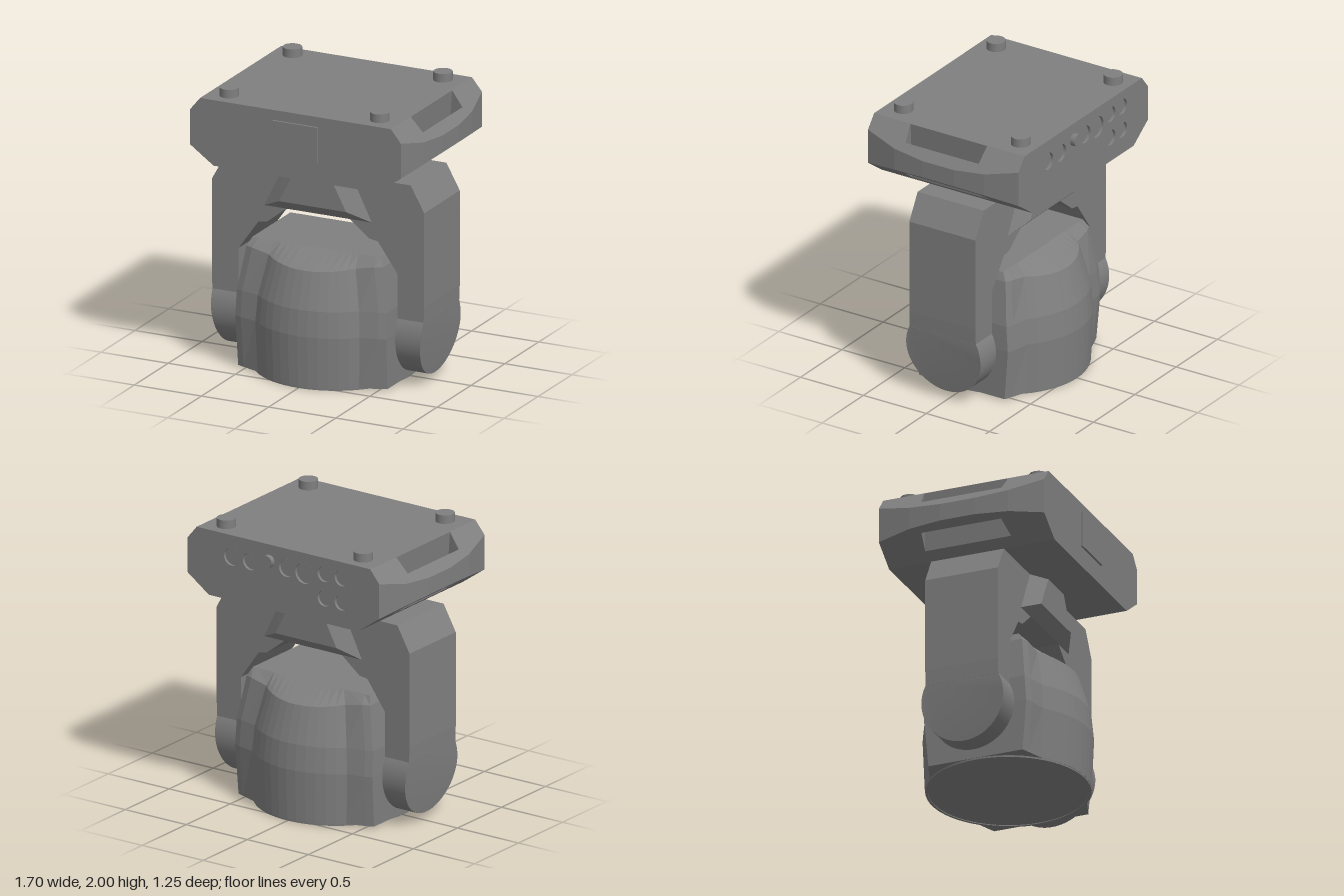
import * as THREE from 'three';
import { toCreasedNormals } from 'three/addons/utils/BufferGeometryUtils.js';
import { ConvexGeometry } from 'three/addons/geometries/ConvexGeometry.js';

const GREY = 0x7f7f7f;
const flat = new THREE.MeshStandardMaterial({ color: GREY, flatShading: true, side: THREE.DoubleSide });
const smooth = new THREE.MeshStandardMaterial({ color: GREY, side: THREE.DoubleSide });
const ZC = 0.01; // depth centre of the yoke and head
const SIDES = [1, -1];

function add(parent, name, geometry, material = flat) {
  const mesh = new THREE.Mesh(geometry, material);
  mesh.name = name;
  parent.add(mesh);
  return mesh;
}

const shapeOf = (pts) => new THREE.Shape(pts.map(([a, b]) => new THREE.Vector2(a, b)));

// Flat outline with holes, placed in space by map(a, b) -> [x, y, z]
function panel(pts, holes, map) {
  const shape = shapeOf(pts);
  shape.holes.push(...holes);
  const geo = new THREE.ShapeGeometry(shape, 24);
  const p = geo.attributes.position;
  for (let i = 0; i < p.count; i++) p.setXYZ(i, ...map(p.getX(i), p.getY(i)));
  geo.computeVertexNormals();
  return geo;
}

// Polygons, each a list of corner points
function facets(polys) {
  const out = [];
  for (const c of polys)
    for (let i = 1; i < c.length - 1; i++) out.push(...c[0], ...c[i], ...c[i + 1]);
  const geo = new THREE.BufferGeometry();
  geo.setAttribute('position', new THREE.Float32BufferAttribute(out, 3));
  geo.computeVertexNormals();
  return geo;
}

// Quads joining two closed rings of equal length
const bridgeRings = (a, b) => a.map((p, i) => {
  const j = (i + 1) % a.length;
  return [p, a[j], b[j], b[i]];
});

function cylinder(r, h, axis, segments = 40) {
  const geo = new THREE.CylinderGeometry(r, r, h, segments);
  if (axis === 'x') geo.rotateZ(Math.PI / 2);
  if (axis === 'z') geo.rotateX(Math.PI / 2);
  return toCreasedNormals(geo, 0.6);
}

function buildBase() {
  const base = new THREE.Group();
  base.name = 'base';
  const Z0 = -0.59, Z1 = 0.605;
  // Bowed sides: [z, half width]
  const bow = [[Z0, 0.785], [-0.35, 0.832], [-0.12, 0.85], [0.13, 0.85], [0.365, 0.832], [Z1, 0.785]];
  const yTop = (w) => 1.94 - (w - 0.71) * 0.17 / 0.14;
  const yLow = (w) => 1.48 + (w - 0.61) * 0.17 / 0.24;

  // Top and underside
  for (const [name, w, y] of [['baseTop', 0.71, 1.94], ['baseUnderside', 0.61, 1.48]])
    add(base, name, facets([[[-w, y, Z0], [-w, y, Z1], [w, y, Z1], [w, y, Z0]]]));

  // Front and back ends; the back has round socket openings [x, y, radius]
  const e = 0.785;
  const end = [[-0.71, 1.94], [-e, yTop(e)], [-e, yLow(e)], [-0.61, 1.48],
    [0.61, 1.48], [e, yLow(e)], [e, yTop(e)], [0.71, 1.94]];
  const sockets = [[0.425, 1.787, 0.062], [0.27, 1.787, 0.062], [-0.025, 1.802, 0.062], [-0.172, 1.797, 0.075],
    [-0.335, 1.825, 0.055], [-0.475, 1.825, 0.055], [-0.335, 1.653, 0.055], [-0.475, 1.653, 0.055]];
  const holes = sockets.map(([x, y, r]) => new THREE.Path().absarc(x, y, r, 0, Math.PI * 2, true));
  add(base, 'baseFront', panel(end, [], (x, y) => [x, y, Z1]));
  add(base, 'baseBack', panel(end, holes, (x, y) => [x, y, Z0]));
  for (const [x, y, r] of sockets) {
    const wall = new THREE.CylinderGeometry(r, r, 0.02, 24, 1, true).rotateX(Math.PI / 2);
    add(base, 'socketWall', wall, smooth).position.set(x, y, Z0 + 0.01);
    add(base, 'socketFloor', new THREE.CircleGeometry(r, 24).rotateY(Math.PI)).position.set(x, y, Z0 + 0.02);
  }

  // Sloped shoulders between edges a and b; a grip slot runs through both (limits t, half lengths h)
  const slopes = [
    { name: 'upperShoulder', a: [0.71, 1.94], b: [0.85, 1.77], t: [0.01, 0.607], h: [0.305, 0.29] },
    { name: 'lowerShoulder', a: [0.61, 1.48], b: [0.85, 1.65], t: [0.29, 0.77], h: [0.31, 0.288] },
  ];
  for (const s of SIDES) {
    const rims = slopes.map(({ name, a, b, t, h }) => {
      const map = (z, k) => [s * (a[0] + k * (b[0] - a[0])), a[1] + k * (b[1] - a[1]), z];
      const edge = bow.map(([z, w]) => [z, (w - a[0]) / (b[0] - a[0])]);
      const rim = [[ZC - h[0], t[0]], [ZC + h[0], t[0]], [ZC + h[1], t[1]], [ZC - h[1], t[1]]];
      add(base, name, panel([[Z1, 0], [Z0, 0], ...edge], [shapeOf(rim)], map));
      return rim.map((c) => map(...c));
    });
    add(base, 'gripSlot', facets(bridgeRings(...rims)));
    const strips = bow.slice(1).map(([z, w], i) => {
      const [y, v] = bow[i];
      return [[s * v, yLow(v), y], [s * v, yTop(v), y], [s * w, yTop(w), z], [s * w, yLow(w), z]];
    });
    add(base, 'baseSide', facets(strips));
    for (const z of [-0.46, 0.47]) add(base, 'foot', cylinder(0.065, 0.06, 'y', 28), smooth).position.set(s * 0.56, 1.97, z);
  }

  add(base, 'displayPanel', new THREE.BoxGeometry(0.335, 0.25, 0.03)).position.set(0, 1.745, 0.605);
  add(base, 'backKnob', cylinder(0.043, 0.05, 'z', 24), smooth).position.set(0.115, 1.825, -0.6);
  return base;
}

function buildYoke() {
  const yoke = new THREE.Group();
  yoke.name = 'yoke';
  add(yoke, 'neck', cylinder(0.25, 0.06, 'y'), smooth).position.set(0, 1.46, ZC);

  // Bridge and straight arms from a mirrored front outline
  const half = [[0.235, 1.135], [0.38, 1.02], [0.445, 1.01], [0.59, 0.805], [0.59, 0.49],
    [0.7856, 0.49], [0.79, 0.6], [0.79, 1.26], [0.69, 1.44]];
  const outline = [...half, ...half.map(([x, y]) => [-x, y]).reverse()];
  const bridge = new THREE.ExtrudeGeometry(shapeOf(outline), { depth: 0.525, bevelEnabled: false });
  add(yoke, 'bridge', bridge.translate(0, 0, ZC - 0.2625));

  // Faceted housings on the front and back of the bridge
  const pts = [];
  for (const s of SIDES) for (const f of SIDES)
    for (const [x, y, z] of [[0.13, 1.44, 0.345], [0.25, 1.21, 0.345], [0.25, 1.44, 0.264], [0.4, 1.135, 0.264]])
      pts.push(new THREE.Vector3(s * x, y, ZC + f * z));
  add(yoke, 'bridgeHousing', new ConvexGeometry(pts));

  // Round arm ends, thinning towards the bottom
  const thickness = (y) => (y > 0.4 ? 0.2 - (0.6 - y) * 0.04 : 0.192 - 0.042 * ((0.4 - y) / 0.34) ** 1.3);
  const a0 = Math.acos(0.2625 / 0.295);
  const disc = new THREE.Shape().absarc(0, 0.355, 0.295, Math.PI - a0, 2 * Math.PI + a0, false);
  for (const s of SIDES) {
    const geo = new THREE.ExtrudeGeometry(disc, { depth: 1, bevelEnabled: false, curveSegments: 40 });
    const p = geo.attributes.position;
    for (let i = 0; i < p.count; i++) {
      const y = p.getY(i);
      p.setXYZ(i, s * (0.59 + p.getZ(i) * thickness(y)), y, ZC - s * p.getX(i));
    }
    add(yoke, 'armEnd', toCreasedNormals(geo, 0.4), smooth);
    add(yoke, 'axle', cylinder(0.14, 0.14, 'x'), smooth).position.set(s * 0.53, 0.355, ZC);
  }
  return yoke;
}

function buildHead() {
  const head = new THREE.Group();
  head.name = 'head';
  head.position.z = ZC;

  // Front half of a cross-section: round middle, bevelled corner and flat side
  const section = (r, hx, hz, yAt) => {
    const pts = [[-hx, hz - 0.02], [0.05 - hx, hz]];
    for (let i = -6; i <= 6; i++) pts.push([r * Math.sin(i * 0.125), r * Math.cos(i * 0.125)]);
    pts.push([hx - 0.05, hz], [hx, hz - 0.02]);
    return pts.map(([x, z]) => [x, yAt(x), z]);
  };
  const toBack = ([x, y, z]) => [x, y, -z];
  const ring = (front) => [...front, ...front.map(toBack).reverse()];

  // Barrel body; its upper edge rises towards the corners
  const fronts = [
    section(0.555, 0.555, 0.36, () => 0.012),
    section(0.57, 0.562, 0.39, () => 0.37),
    section(0.552, 0.557, 0.375, () => 0.55),
    section(0.475, 0.505, 0.335, (x) => 0.8 + 0.05 * Math.min(1, (x / 0.455) ** 2)),
  ];
  const rings = fronts.map(ring);
  const polys = rings.slice(1).flatMap((r, i) => bridgeRings(rings[i], r));
  polys.push(...rings[0].map((p, i, all) => [[0, 0.012, 0], p, all[(i + 1) % all.length]]));
  add(head, 'barrel', facets(polys));

  // Top: slopes up from the front and back to a flat crown
  const rim = fronts[3];
  const crown = rim.map(([x, , z]) => [x * 0.95, 0.905, Math.min(z, 0.28)]);
  const top = [];
  for (let i = 0; i < rim.length - 1; i++) {
    const slope = [rim[i], rim[i + 1], crown[i + 1], crown[i]];
    top.push(slope, slope.map(toBack), [crown[i], crown[i + 1], toBack(crown[i + 1]), toBack(crown[i])]);
  }
  for (const i of [0, rim.length - 1]) top.push([rim[i], crown[i], toBack(crown[i]), toBack(rim[i])]);
  add(head, 'barrelTop', facets(top));

  // Lens in a thin rim underneath
  const rimProfile = [[0.535, 0.012], [0.535, 0], [0.552, 0], [0.554, 0.02]].map(([r, y]) => new THREE.Vector2(r, y));
  add(head, 'lensRim', toCreasedNormals(new THREE.LatheGeometry(rimProfile, 64), 0.5), smooth);
  add(head, 'lens', new THREE.CircleGeometry(0.535, 64).rotateX(Math.PI / 2)).position.y = 0.006;
  return head;
}

export function createModel() {
  const model = new THREE.Group();
  model.name = 'movingSpotlight';
  model.add(buildBase(), buildYoke(), buildHead());
  return model;
}
